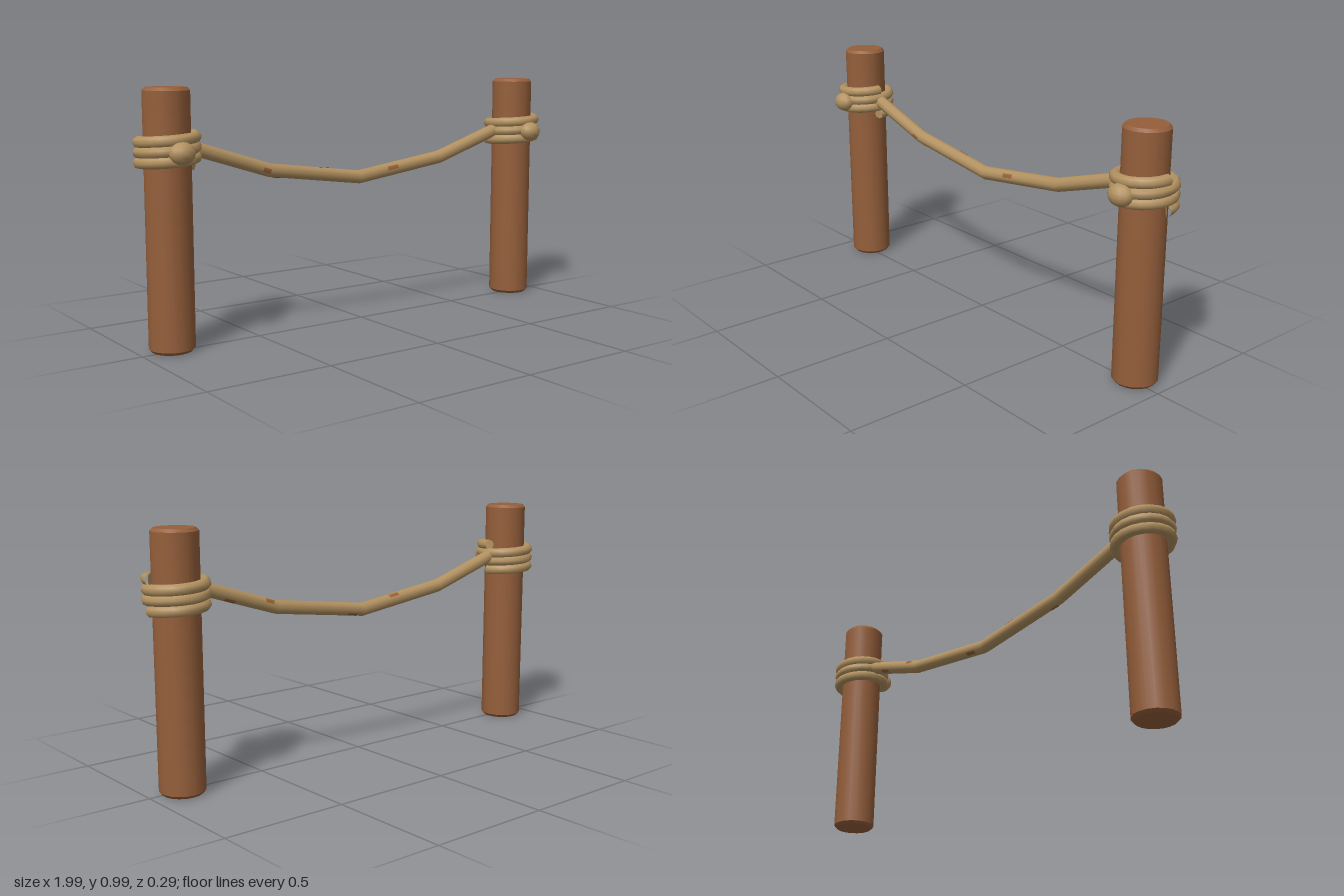
import * as THREE from 'three';
import { toCreasedNormals } from 'three/addons/utils/BufferGeometryUtils.js';

const POST_X = 0.87, MID_Z = -0.017, COIL_R = 0.105, COIL_TUBE = 0.022, ROPE_R = 0.028;

// Spiral that winds down around a post, both ends on the +x side
class Spiral extends THREE.Curve {
  getPoint(t, target = new THREE.Vector3()) {
    const a = t * Math.PI * 6;
    return target.set(Math.cos(a) * COIL_R, 0.811 - 0.114 * t, Math.sin(a) * COIL_R);
  }
}

// Straight spans between points, with mitred corners when sampled at the points
class Spans extends THREE.Curve {
  constructor(points) { super(); this.points = points; }
  getPoint(t, target = new THREE.Vector3()) {
    const n = this.points.length - 1;
    const s = THREE.MathUtils.clamp(t, 0, 1) * n;
    const i = Math.min(Math.floor(s), n - 1);
    return target.lerpVectors(this.points[i], this.points[i + 1], s - i);
  }
  getPointAt(u, target) { return this.getPoint(u, target); }
  getTangentAt(u, target) { return this.getTangent(u, target); }
}

export function createModel() {
  const model = new THREE.Group();
  model.name = 'ropeFence';
  const mat = (name, color) => {
    const m = new THREE.MeshStandardMaterial({ color });
    m.name = name;
    return m;
  };
  const wood = mat('wood', 0x955f3b);
  const ropeMat = mat('rope', 0xb39261);
  const fibre = mat('darkFibre', 0x9c6236);
  fibre.side = THREE.DoubleSide;

  const add = (parent, name, geometry, material) => {
    const mesh = new THREE.Mesh(geometry, material);
    mesh.name = name;
    parent.add(mesh);
    return mesh;
  };

  // Shared post, coil and knot shapes
  const profile = [[0, 0], [0.077, 0], [0.088, 0.012], [0.088, 0.978], [0.077, 0.99], [0, 0.99]];
  const postGeo = toCreasedNormals(
    new THREE.LatheGeometry(profile.map(([r, y]) => new THREE.Vector2(r, y)), 18), 0.5);
  const spiral = new Spiral();
  const coilGeo = new THREE.TubeGeometry(spiral, 60, COIL_TUBE, 8);
  const capGeo = new THREE.CircleGeometry(COIL_TUBE, 8);

  for (const side of [-1, 1]) {
    const unit = new THREE.Group();
    unit.name = side < 0 ? 'rightPostUnit' : 'leftPostUnit';
    unit.position.set(side * POST_X, 0, MID_Z);
    add(unit, 'post', postGeo, wood);
    add(unit, 'ropeCoil', coilGeo, ropeMat);

    // Cut ends of the coil
    for (const t of [0, 1]) {
      const cap = add(unit, 'coilEnd', capGeo, ropeMat);
      const p = spiral.getPoint(t);
      const dir = spiral.getTangent(t).multiplyScalar(t ? 1 : -1);
      cap.position.copy(p);
      cap.lookAt(p.clone().add(dir));
    }

    // Knot on the front of the coil
    const knot = add(unit, 'knot', new THREE.SphereGeometry(1, 12, 8), ropeMat);
    knot.scale.set(0.051, 0.042, 0.042);
    knot.position.set(0, 0.755, 0.121);
    model.add(unit);
  }

  // Sagging rope, its ends buried in the posts
  const points = [[-0.87, 0.793], [-0.435, 0.655], [0, 0.597], [0.435, 0.655], [0.87, 0.793]]
    .map(([x, y]) => new THREE.Vector3(x, y, -0.02));
  const spans = new Spans(points);
  add(model, 'saggingRope', new THREE.TubeGeometry(spans, 4, ROPE_R, 10), ropeMat);

  // Dark fibres showing through: x, angle around the rope (0 = front, 90 = top), length
  const patches = [[-0.455, 10, 0.035], [-0.405, 75, 0.04], [0.165, -20, 0.055],
    [0.06, 130, 0.05], [0.65, 130, 0.05], [0.48, 215, 0.04], [-0.17, 235, 0.05]];
  for (const [x, angle, length] of patches) {
    const t = (x / 0.87 + 1) / 2;
    const arc = new THREE.CylinderGeometry(ROPE_R + 0.0008, ROPE_R + 0.0008, length, 4, 1, true, -0.3, 0.6);
    arc.rotateY(THREE.MathUtils.degToRad(angle));
    arc.rotateZ(-Math.PI / 2);
    const patch = add(model, 'darkFibre', arc, fibre);
    patch.position.copy(spans.getPoint(t));
    const dir = spans.getTangent(t);
    patch.rotation.z = Math.atan2(dir.y, dir.x);
  }
  return model;
}
